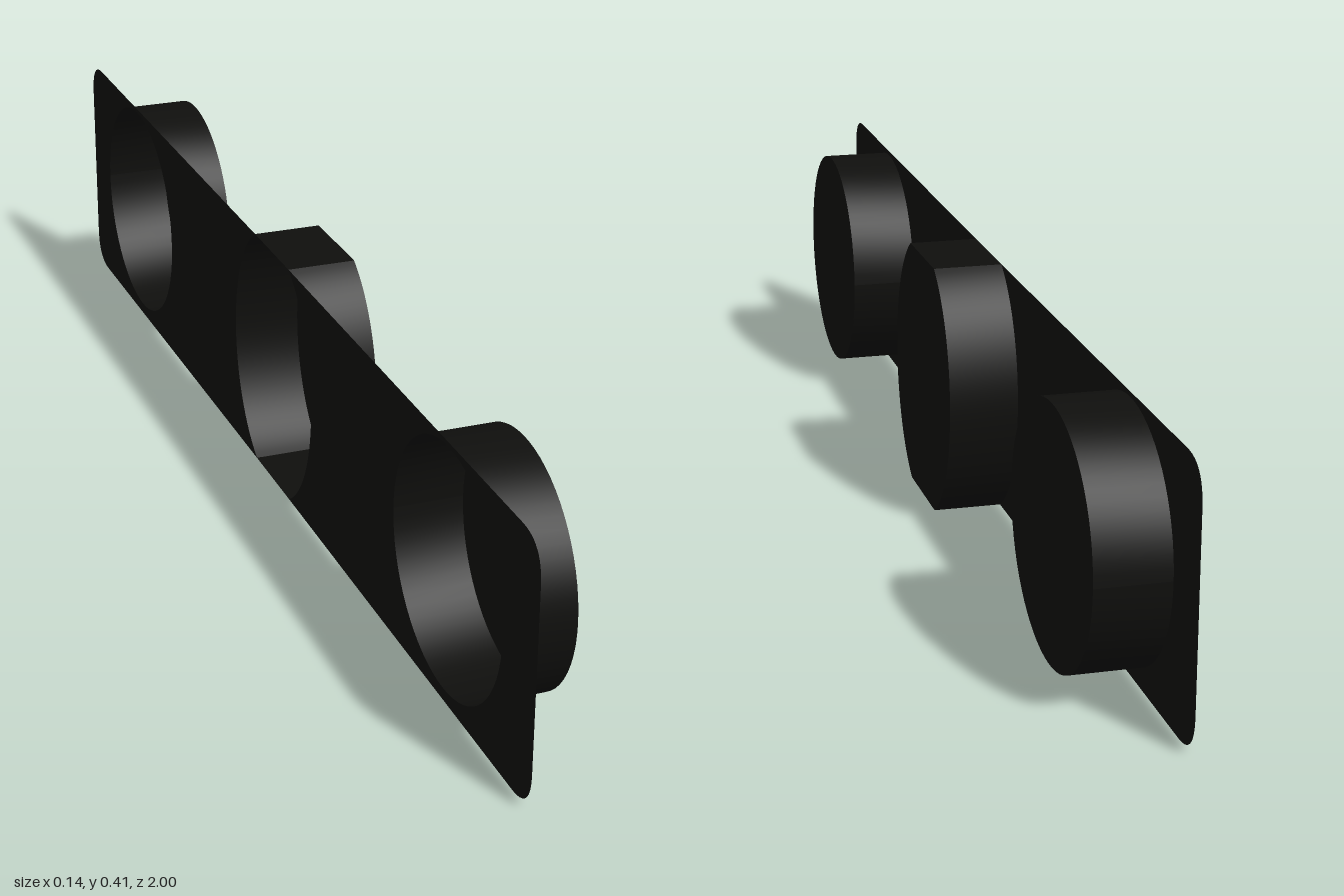
import * as THREE from 'three';

const HEIGHT = 0.405, MID = HEIGHT / 2, HALF = 1, CORNER = 0.06, DEPTH = 0.109;
const CUP_R = 0.19, CUP_Y = 0.208;          // round end cups
const OVAL_Z = 0.178, OVAL_Y = 0.225;       // middle cup, cut flat at the plate edges

const black = new THREE.MeshStandardMaterial({ color: 0x0f0f0d, side: THREE.DoubleSide });

// Turns a flat geometry to face +x and bends it gently along its length
function bend(geometry) {
  geometry.rotateY(Math.PI / 2);
  const p = geometry.attributes.position;
  for (let i = 0; i < p.count; i++) {
    const z = p.getZ(i);
    p.setX(i, p.getX(i) - 0.052 + 0.0135 * z - 0.003 * z * z);
  }
  geometry.computeVertexNormals();
  return geometry;
}

function addMesh(group, name, geometry) {
  const mesh = new THREE.Mesh(bend(geometry), black);
  mesh.name = name;
  group.add(mesh);
}

// Points along an elliptical arc
function arc(cx, cy, rx, ry, from, to, n = 40) {
  return Array.from({ length: n + 1 }, (_, i) => {
    const a = from + (to - from) * i / n;
    return new THREE.Vector2(cx + rx * Math.cos(a), cy + ry * Math.sin(a));
  });
}

// Side wall standing on a line of points
function wall(points) {
  const g = new THREE.PlaneGeometry(1, 1, points.length - 1, 1);
  const p = g.attributes.position, n = points.length;
  for (let i = 0; i < p.count; i++) {
    const q = points[i % n];
    p.setXYZ(i, q.x, q.y, i < n ? DEPTH : 0);
  }
  return g;
}

// Hollow cup, open at the back: a face plus its walls
function cup(name, outline, walls) {
  const group = new THREE.Group();
  group.name = name;
  addMesh(group, name + 'Face', new THREE.ShapeGeometry(new THREE.Shape(outline)).translate(0, 0, DEPTH));
  walls.forEach((points, i) => addMesh(group, name + 'Wall' + (i + 1), wall(points)));
  return group;
}

export function createModel() {
  const model = new THREE.Group();
  model.name = 'threeCupPanel';

  const cut = Math.asin(MID / OVAL_Y);
  const sideArc = arc(0, MID, OVAL_Z, OVAL_Y, cut, -cut);

  // Plate halves with rounded outer corners, and the end cups
  for (const [s, end, centre] of [[-1, 'front', 0.705], [1, 'rear', 0.715]]) {
    const plate = new THREE.Shape();
    plate.moveTo(s * sideArc[0].x, HEIGHT);
    sideArc.slice(1).forEach(q => plate.lineTo(s * q.x, q.y));
    plate.lineTo(s * (HALF - CORNER), 0);
    plate.quadraticCurveTo(s * HALF, 0, s * HALF, CORNER);
    plate.lineTo(s * HALF, HEIGHT - CORNER);
    plate.quadraticCurveTo(s * HALF, HEIGHT, s * (HALF - CORNER), HEIGHT);
    plate.closePath();

    const ring = arc(s * centre, CUP_Y, CUP_R, CUP_R, 0, Math.PI * 2, 64);
    const outline = ring.slice(0, -1);
    plate.holes.push(new THREE.Path(outline));
    addMesh(model, end + 'Plate', new THREE.ShapeGeometry(plate));
    model.add(cup(end + 'Cup', outline, [ring]));
  }

  // Middle cup with flat top and bottom
  const otherArc = sideArc.map(q => new THREE.Vector2(-q.x, q.y)).reverse();
  model.add(cup('middleCup', [...sideArc, ...otherArc], [
    sideArc,
    [sideArc.at(-1), otherArc[0]],
    otherArc,
    [otherArc.at(-1), sideArc[0]],
  ]));

  return model;
}
